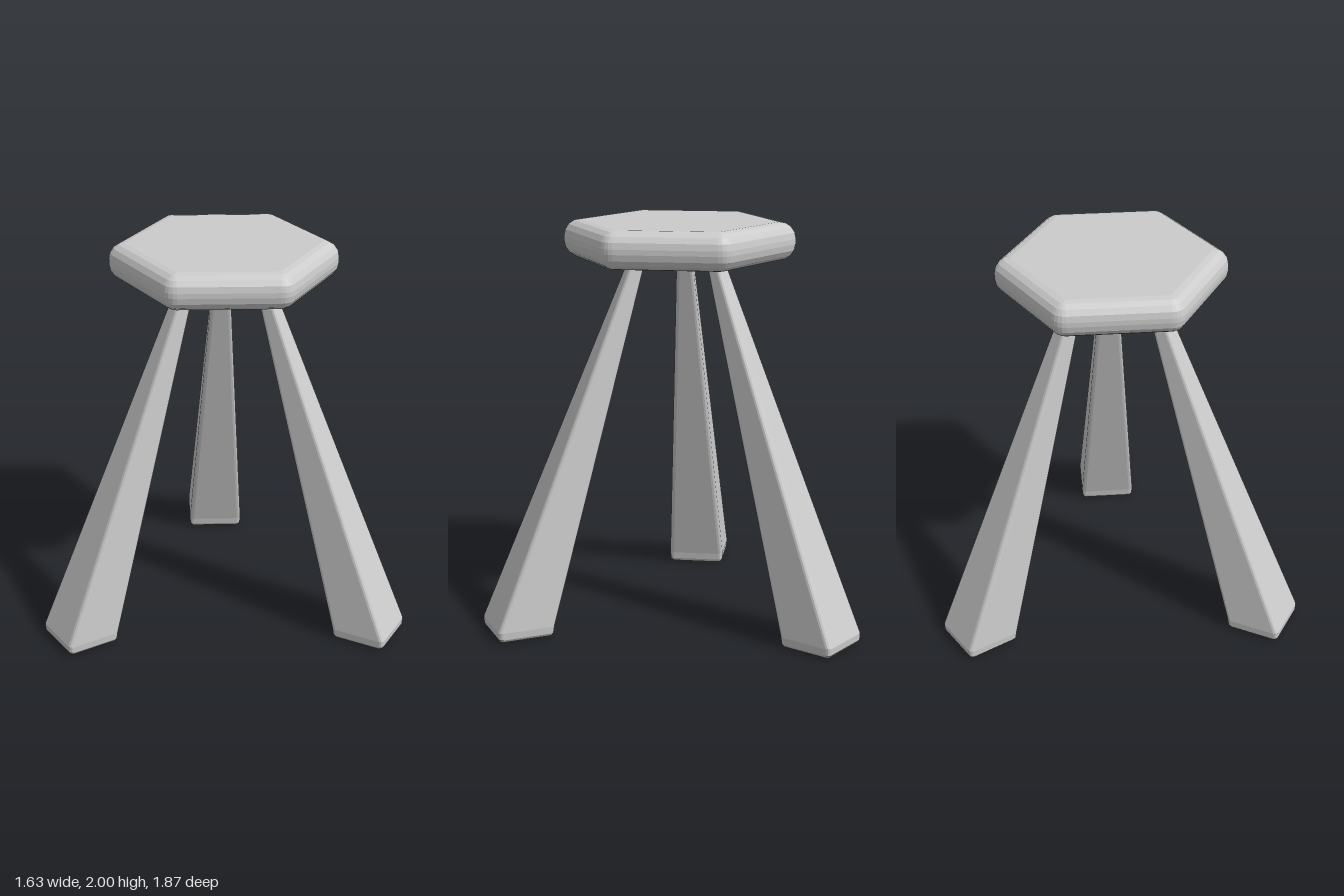
import * as THREE from 'three';

const SEAT_X = 0.19; // seat axis, around which the legs repeat

// Outline of a convex polygon (counter-clockwise, [x, z]) grown outward by radius r with rounded corners
function roundedRing(corners, r, y, segs) {
  const n = corners.length;
  const ring = [];
  corners.forEach(([x, z], i) => {
    const [px, pz] = corners[(i + n - 1) % n];
    const [nx, nz] = corners[(i + 1) % n];
    const a0 = Math.atan2(z - pz, x - px) - Math.PI / 2;
    let turn = Math.atan2(nz - z, nx - x) - Math.PI / 2 - a0;
    if (turn < 0) turn += Math.PI * 2;
    for (let s = 0; s <= segs; s++) {
      const a = a0 + (turn * s) / segs;
      ring.push([x + r * Math.cos(a), y, z + r * Math.sin(a)]);
    }
  });
  return ring;
}

// Skin rings from bottom to top and cap both ends
function loft(rings) {
  const n = rings[0].length;
  const positions = rings.flat(2);
  const index = [];
  for (let k = 0; k < rings.length - 1; k++) {
    for (let i = 0; i < n; i++) {
      const a = k * n + i, b = k * n + ((i + 1) % n);
      index.push(a, a + n, b, b, a + n, b + n);
    }
  }
  const top = (rings.length - 1) * n;
  for (let i = 1; i < n - 1; i++) {
    index.push(0, i, i + 1, top, top + i + 1, top + i);
  }
  const g = new THREE.BufferGeometry();
  g.setAttribute('position', new THREE.Float32BufferAttribute(positions, 3));
  g.setIndex(index);
  const flat = g.toNonIndexed();
  flat.computeVertexNormals();
  return flat;
}

// Hexagonal seat with a rounded rim
function seatGeometry() {
  const core = 0.425 / Math.cos(Math.PI / 6), r = 0.08, y0 = 1.815, y1 = 2, steps = 4;
  const hex = Array.from({ length: 6 }, (_, i) => {
    const a = Math.PI / 6 + (i * Math.PI) / 3;
    return [core * Math.cos(a), core * Math.sin(a)];
  });
  const rings = [];
  for (const [yc, from] of [[y0 + r, -Math.PI / 2], [y1 - r, 0]]) {
    for (let s = 0; s <= steps; s++) {
      const t = from + (s / steps) * (Math.PI / 2);
      rings.push(roundedRing(hex, Math.max(r * Math.cos(t), 0.001), yc + r * Math.sin(t), 4));
    }
  }
  return loft(rings);
}

// Splayed, tapering leg pointing along +x
function legGeometry() {
  // y, inner distance, outer distance, half width, corner radius
  const sections = [
    [0, 0.745, 0.975, 0.12, 0.006],
    [0.006, 0.733, 0.992, 0.135, 0.012],
    [0.02, 0.724, 1.003, 0.144, 0.018],
    [0.055, 0.718, 1.005, 0.147, 0.022],
    [1.775, 0.2, 0.275, 0.041, 0.018],
    [1.792, 0.204, 0.268, 0.036, 0.016],
    [1.803, 0.216, 0.254, 0.022, 0.01],
  ];
  return loft(sections.map(([y, a, b, w, r]) =>
    roundedRing([[a + r, r - w], [b - r, r - w], [b - r, w - r], [a + r, w - r]], r, y, 3)));
}

export function createModel() {
  const model = new THREE.Group();
  model.name = 'stool';
  const material = new THREE.MeshStandardMaterial({ color: 0xcccccc, flatShading: true });

  const seat = new THREE.Mesh(seatGeometry(), material);
  seat.name = 'seat';
  seat.position.x = SEAT_X;
  model.add(seat);

  // Three legs evenly spaced around the seat axis
  const leg = legGeometry();
  ['rightLeg', 'frontLeg', 'backLeg'].forEach((name, i) => {
    const mesh = new THREE.Mesh(leg, material);
    mesh.name = name;
    mesh.position.x = SEAT_X;
    mesh.rotation.y = Math.PI + (i * Math.PI * 2) / 3;
    model.add(mesh);
  });
  return model;
}
